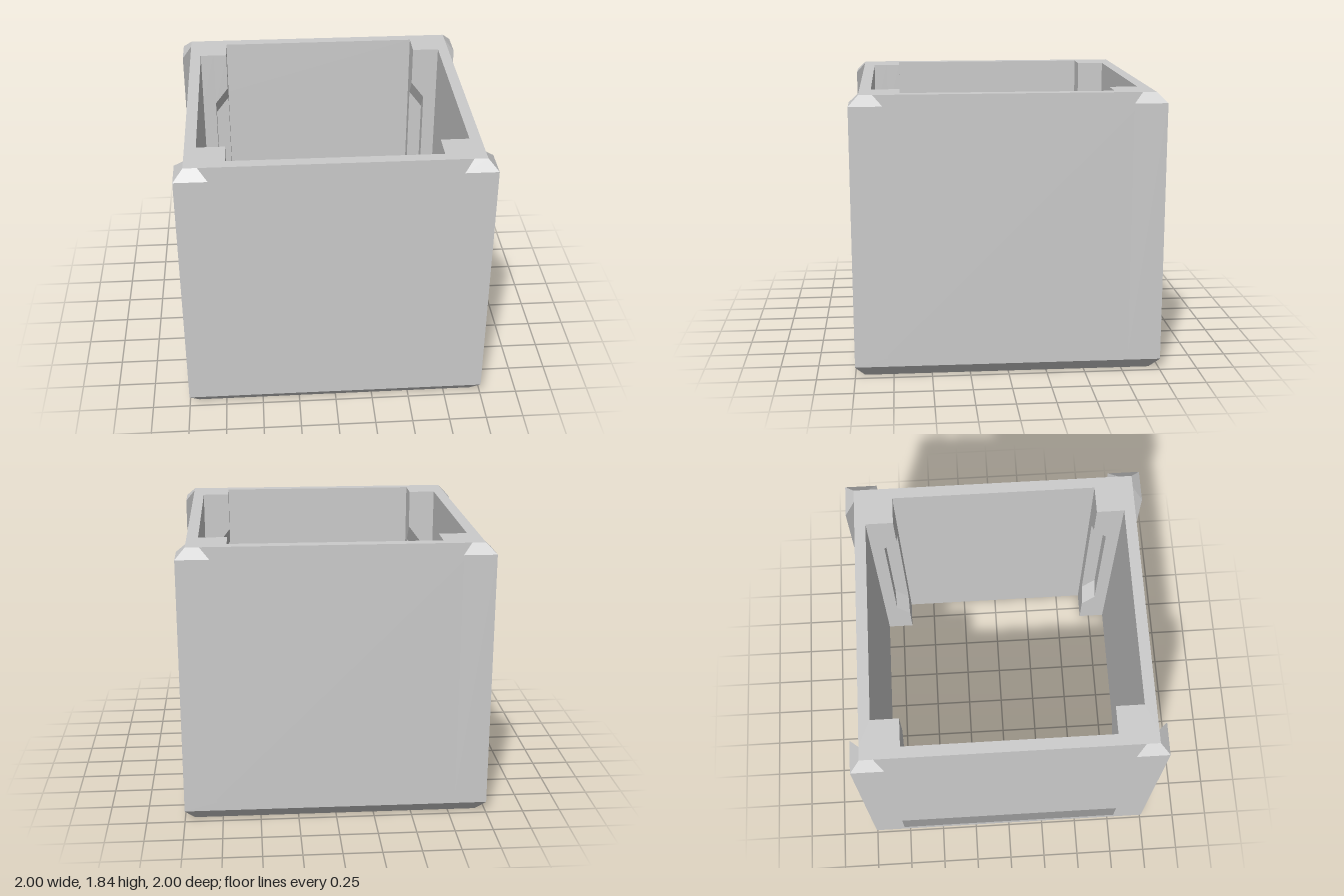
import * as THREE from 'three';

const H = 1.837;            // full height
const R = 0.937;            // half width of the slot back walls and the rims
const Q = 0.85, S = 0.787;  // half width of the dovetail slot, inside and at the face
const W = 0.863, P = 0.68;  // inner wall and inner post positions
const N = 0.772;            // depth of the notch in the inner posts

// A ring is five [x, y, z] points of the +x +z corner, repeated by quarter turns.
function fullRing(corner) {
  const pts = [];
  for (let k = 0; k < 4; k++) {
    for (const [x, y, z] of corner) {
      let a = x, b = z;
      for (let i = 0; i < k; i++) [a, b] = [b, -a];
      pts.push(new THREE.Vector3(a, y, b));
    }
  }
  return pts;
}

// Skin a list of rings with flat faces, skipping collapsed triangles.
function loft(corners) {
  const rings = corners.map(fullRing);
  const pos = [];
  const tri = (a, b, c) => {
    if (new THREE.Triangle(a, b, c).getArea() > 1e-6) {
      for (const p of [a, b, c]) pos.push(p.x, p.y, p.z);
    }
  };
  for (let i = 0; i < rings.length - 1; i++) {
    const lo = rings[i], hi = rings[i + 1], n = lo.length;
    for (let j = 0; j < n; j++) {
      const k = (j + 1) % n;
      tri(lo[j], lo[k], hi[k]);
      tri(lo[j], hi[k], hi[j]);
    }
  }
  const geo = new THREE.BufferGeometry();
  geo.setAttribute('position', new THREE.Float32BufferAttribute(pos, 3));
  geo.computeVertexNormals();
  return geo;
}

// Symmetric corner section: two points on one side, the middle, then mirrored.
function corner(a, b, c) {
  const flip = ([x, y, z]) => [z, y, x];
  return [a, b, c, flip(b), flip(a)];
}

// Inner post section: heights of the faces and of the middle edge, and the edge position.
const post = (y, yc, c) => corner([P, y, W], [P, y, N], [c, yc, c]);

export function createModel() {
  const group = new THREE.Group();
  const material = new THREE.MeshStandardMaterial({ color: 0xcccccc, flatShading: true });
  const add = (name, rings) => {
    const mesh = new THREE.Mesh(loft(rings), material);
    mesh.name = name;
    group.add(mesh);
  };

  // Outside, bottom to top: chamfered foot, band, undercut slots, chamfered corner posts
  const foot = corner([R, 0, R], [R, 0, R], [R, 0, R]);
  const top = corner([Q, H, R], [Q, H, R], [R, H, R]);
  add('outerShell', [
    foot,
    corner([1, 0.075, 1], [1, 0.075, 1], [1, 0.075, 1]),
    corner([S, 0.13, 1], [S, 0.13, 1], [1, 0.075, 1]),
    corner([Q, 0.067, R], [S, 0.13, 1], [1, 0.075, 1]),
    corner([Q, 1.773, R], [S, 1.773, 1], [1, 1.773, 1]),
    top,
  ]);

  // Inside, top to bottom: four posts with a notched edge that tapers out at both ends
  const innerTop = post(H, H, P);
  const innerBottom = post(0, 0, P);
  add('innerWallAndPosts', [
    innerTop,
    post(H - 0.385, H - 0.265, P),
    post(H - 0.385, H - 0.505, N),
    post(0.385, 0.505, N),
    post(0.385, 0.265, P),
    innerBottom,
  ]);

  // Flat rims joining outside and inside
  add('topRim', [top, innerTop]);
  add('bottomRim', [innerBottom, foot]);
  return group;
}
